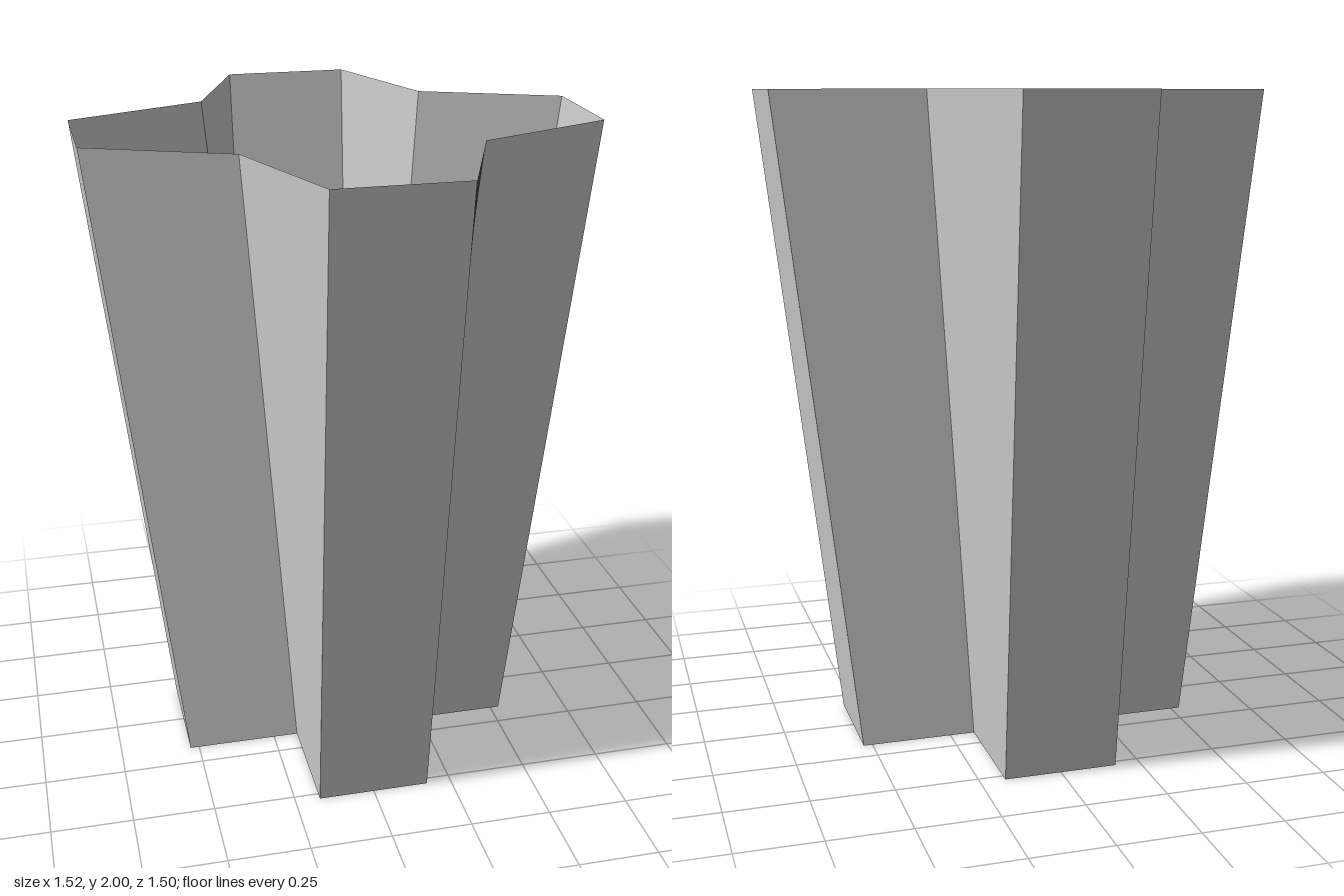
import * as THREE from 'three';

const HEIGHT = 2;
const STEPS = 8; // subdivisions that keep the twisted flanks smooth

// Cross-shaped outline, counter-clockwise seen from above, as [x, z] corners
function crossOutline({ armX, armZ, halfX, halfZ, innerX, innerZ }) {
  const half = [
    [-halfX, armZ], [halfX, armZ],   // end of the front arm
    [innerX, innerZ],                // notch
    [armX, halfZ], [armX, -halfZ],   // end of the side arm
    [innerX, -innerZ],               // notch
  ];
  return [...half, ...half.map(([x, z]) => [-x, -z])];
}

// Ruled panel between a bottom edge and a top edge, with one even normal
function panelGeometry(b0, b1, t0, t1) {
  const geometry = new THREE.PlaneGeometry(1, 1, STEPS, STEPS);
  const { position, normal, uv } = geometry.attributes;
  const low = new THREE.Vector3();
  const high = new THREE.Vector3();
  for (let i = 0; i < position.count; i++) {
    low.lerpVectors(b0, b1, uv.getX(i));
    high.lerpVectors(t0, t1, uv.getX(i));
    low.lerp(high, uv.getY(i));
    position.setXYZ(i, low.x, low.y, low.z);
  }
  const n = t1.clone().sub(b0).cross(t0.clone().sub(b1)).normalize();
  for (let i = 0; i < normal.count; i++) normal.setXYZ(i, n.x, n.y, n.z);
  return geometry;
}

export function createModel() {
  const group = new THREE.Group();
  group.name = 'crossShapedVase';
  const material = new THREE.MeshStandardMaterial({ color: 0xcccccc, side: THREE.DoubleSide });

  const toPoints = (outline, y) => outline.map(([x, z]) => new THREE.Vector3(x, y, z));
  const bottom = toPoints(crossOutline({
    armX: 0.528, armZ: 0.525, halfX: 0.173, halfZ: 0.17, innerX: 0.173, innerZ: 0.17,
  }), 0);
  const top = toPoints(crossOutline({
    armX: 0.762, armZ: 0.748, halfX: 0.19, halfZ: 0.173, innerX: 0.346, innerZ: 0.343,
  }), HEIGHT);

  // Flaring wall, open at both ends: arm ends and the flanks between them
  bottom.forEach((b0, i) => {
    const j = (i + 1) % bottom.length;
    const panel = new THREE.Mesh(panelGeometry(b0, bottom[j], top[i], top[j]), material);
    panel.name = i % 3 === 0 ? 'armEndPanel' : 'flankPanel';
    group.add(panel);
  });

  return group;
}
